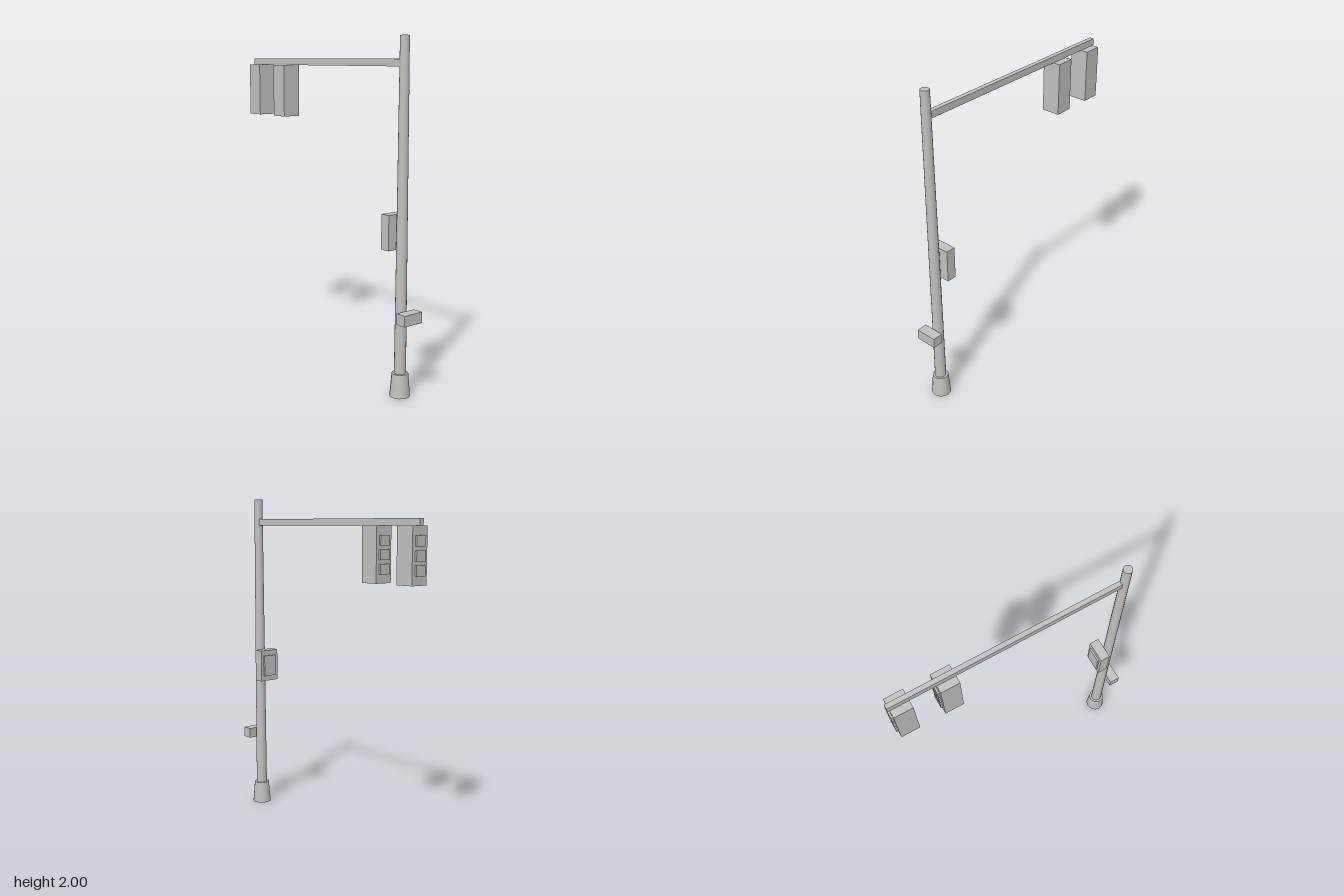
import * as THREE from 'three';

export function createModel() {
  const model = new THREE.Group();
  const metal = new THREE.MeshStandardMaterial({ color: 0xc0c0c0 });
  metal.name = 'greyMetal';
  const poleZ = 0.65;

  const add = (name, geometry, parent = model) => {
    const mesh = new THREE.Mesh(geometry, metal);
    mesh.name = name;
    parent.add(mesh);
    return mesh;
  };
  // box centred on x = 0, spanning the given y and z ranges
  const box = (name, width, y0, y1, z0, z1, parent) =>
    add(name, new THREE.BoxGeometry(width, y1 - y0, z1 - z0), parent)
      .position.set(0, (y0 + y1) / 2, (z0 + z1) / 2);
  // upright tapered cylinder on the pole axis
  const column = (name, rTop, rBottom, y0, y1) =>
    add(name, new THREE.CylinderGeometry(rTop, rBottom, y1 - y0, 16))
      .position.set(0, (y0 + y1) / 2, poleZ);

  // pole, footing and overhead arm
  column('footing', 0.047, 0.058, 0, 0.135);
  column('pole', 0.026, 0.034, 0.1, 2);
  box('arm', 0.028, 1.836, 1.876, -0.75, 0.632);

  // two signal heads hanging from the arm, each with three lamps facing the back
  for (const z of [-0.474, -0.739]) {
    const head = new THREE.Group();
    head.name = 'signalHead';
    model.add(head);
    box('housing', 0.116, 1.52, 1.836, z, z + 0.112, head);
    for (const y of [1.757, 1.678, 1.599]) {
      box('lamp', 0.072, y - 0.029, y + 0.029, z - 0.011, z, head);
    }
  }

  // pedestrian signal with a raised screen
  const walk = new THREE.Group();
  walk.name = 'pedestrianSignal';
  model.add(walk);
  box('walkHousing', 0.132, 0.837, 1.036, 0.554, 0.614, walk);
  box('walkScreen', 0.094, 0.87, 1.003, 0.543, 0.554, walk);

  // push button box on the other side of the pole
  box('buttonBox', 0.132, 0.437, 0.5, 0.686, 0.75);

  return model;
}
